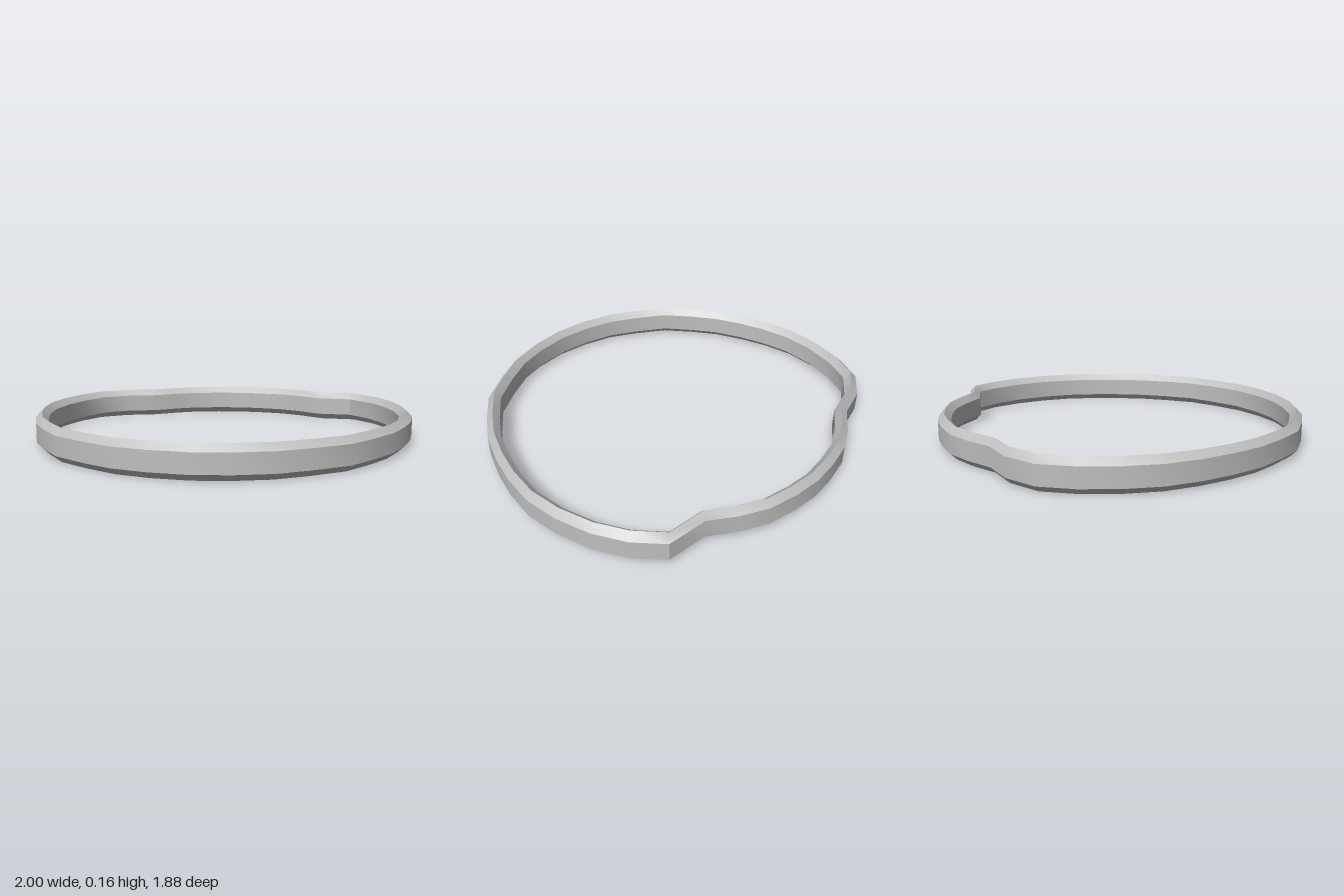
import * as THREE from 'three';
import { toCreasedNormals } from 'three/addons/utils/BufferGeometryUtils.js';

// Outer outline as [x, z], from the middle of the back round the left side to the front
const HALF = [
  [0, -0.945], [0.14, -0.932], [0.29, -0.9], [0.42, -0.834], [0.548, -0.745],
  [0.75, -0.727], [0.86, -0.598], [0.938, -0.444], [0.985, -0.267], [1, -0.09],
  [0.975, 0.08], [0.931, 0.235], [0.865, 0.396], [0.775, 0.535], [0.663, 0.68],
  [0.5, 0.79], [0.353, 0.872], [0.18, 0.92], [0, 0.94],
];

// Band cross-section as [scale of outline, y]: walls with ridged top and bottom
const SECTION = [
  [1, 0.032], [1, 0.127], [0.966, 0.16], [0.932, 0.127], [0.932, 0.032], [0.966, 0],
];

function bandGeometry() {
  // Mirror the half outline; the shoulder on the right is softer than on the left
  const mirrored = HALF.slice(1, -1).reverse().map(([x, z]) =>
    x === 0.75 ? [-0.717, -0.7] : [-x, z]);
  const path = [...HALF, ...mirrored];
  const n = path.length;
  const m = SECTION.length;
  const positions = [];
  const index = [];
  path.forEach(([x, z], i) => {
    SECTION.forEach(([s, y], j) => {
      positions.push(x * s, y, z * s);
      const i2 = (i + 1) % n;
      const j2 = (j + 1) % m;
      const a = i * m + j, b = i * m + j2, c = i2 * m + j2, d = i2 * m + j;
      index.push(a, b, c, a, c, d);
    });
  });
  const geometry = new THREE.BufferGeometry();
  geometry.setAttribute('position', new THREE.Float32BufferAttribute(positions, 3));
  geometry.setIndex(index);
  return toCreasedNormals(geometry, 0.6);
}

export function createModel() {
  const grey = new THREE.MeshStandardMaterial({ color: 0xbfbfbf });
  grey.name = 'grey';
  const group = new THREE.Group();
  group.name = 'ring';
  const band = new THREE.Mesh(bandGeometry(), grey);
  band.name = 'band';
  group.add(band);
  return group;
}
